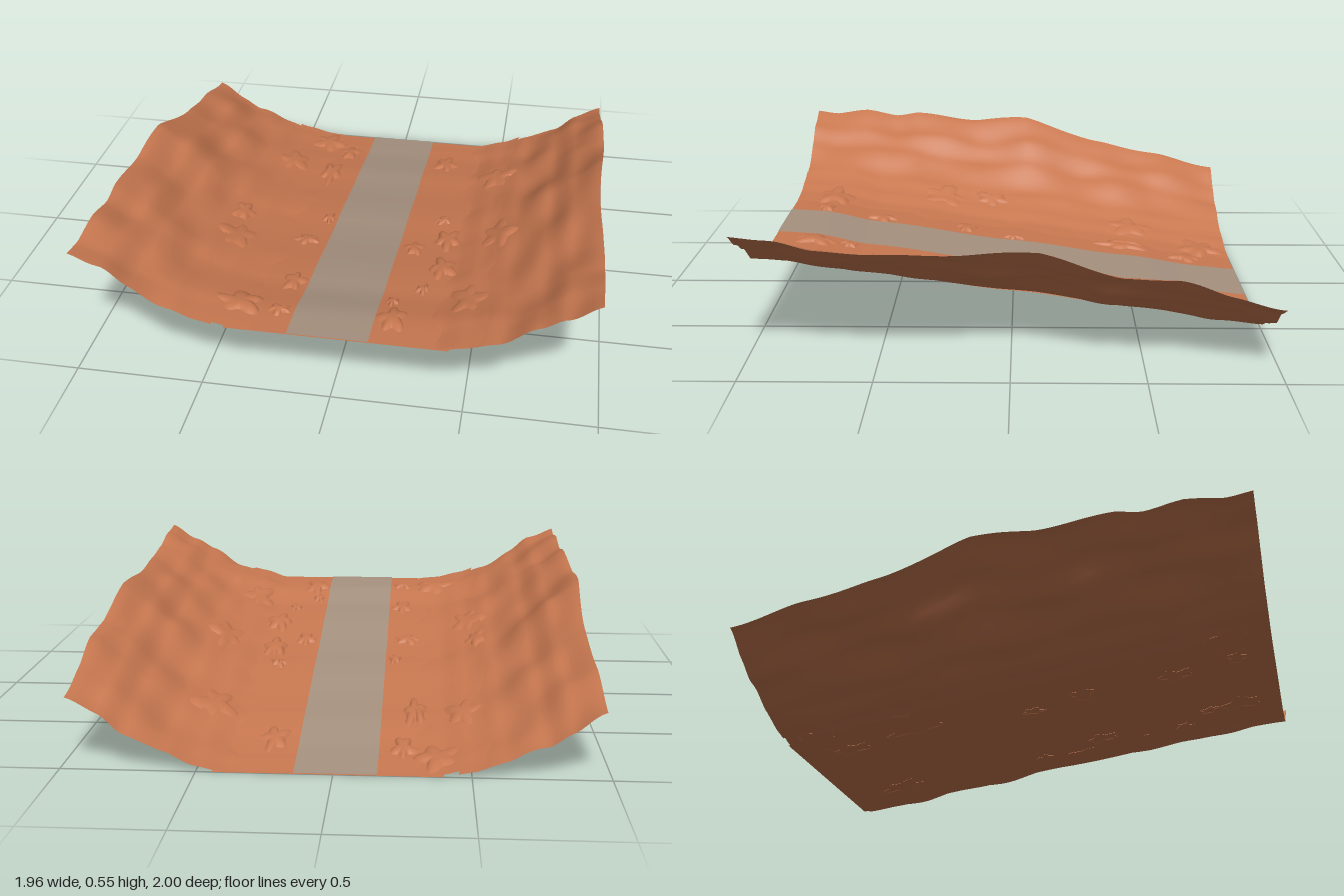
import * as THREE from 'three';

const earth = new THREE.MeshStandardMaterial({ color: 0xc87850, side: THREE.DoubleSide });
earth.name = 'red earth';
const gravel = new THREE.MeshStandardMaterial({ color: 0xa6917f, side: THREE.DoubleSide });
gravel.name = 'grey road';

// Smooth curve through [position, value] pairs in ascending order
function curve(pairs) {
  return (t) => {
    let i = 0;
    while (i < pairs.length - 2 && t > pairs[i + 1][0]) i++;
    const [a, va] = pairs[i], [b, vb] = pairs[i + 1];
    const k = THREE.MathUtils.clamp((t - a) / (b - a), 0, 1);
    return va + (vb - va) * (0.5 * k + 0.5 * k * k * (3 - 2 * k));
  };
}

// Road gradient, bank cross-section, and the crest height of each bank
const roadY = curve([[-1, 0], [-0.85, 0.015], [-0.5, 0.068], [0, 0.137], [0.6, 0.222], [0.85, 0.272], [1, 0.28]]);
const slope = curve([[0.4, 0], [0.5, 0.08], [0.62, 0.24], [0.76, 0.52], [0.85, 0.76], [0.97, 1]]);
const crest = {
  1: curve([[-1, 0.275], [-0.8, 0.325], [-0.6, 0.385], [-0.4, 0.4], [-0.1, 0.495], [0.2, 0.485], [0.5, 0.475], [0.7, 0.495], [0.85, 0.535], [1, 0.55]]),
  [-1]: curve([[-1, 0.255], [-0.7, 0.335], [-0.4, 0.395], [-0.05, 0.515], [0.2, 0.5], [0.5, 0.545], [0.6, 0.53], [0.75, 0.55], [0.9, 0.535], [1, 0.55]]),
};

function bankY(x, z) {
  const side = x < 0 ? -1 : 1, a = Math.abs(x), base = roadY(z);
  const bump = Math.sin(z * 8 + a * 9 + side) * Math.sin(a * 13 + z * 3) * 0.016
    + Math.sin(z * 17 - a * 12) * 0.006;
  const fade = THREE.MathUtils.smoothstep(a, 0.5, 0.72) * (1 - 0.6 * THREE.MathUtils.smoothstep(a, 0.85, 0.97));
  return base + (crest[side](z) - base) * slope(a) + bump * fade;
}

// Grid surface from a rule giving a point for u, v in 0..1
function sheet(name, nu, nv, rule, material = earth) {
  const geo = new THREE.PlaneGeometry(1, 1, nu, nv);
  const pos = geo.attributes.position, uv = geo.attributes.uv;
  for (let i = 0; i < pos.count; i++) pos.setXYZ(i, ...rule(uv.getX(i), 1 - uv.getY(i)));
  geo.computeVertexNormals();
  const mesh = new THREE.Mesh(geo, material);
  mesh.name = name;
  return mesh;
}

// Ragged offset used along sheet borders
const ragged = (z, s) => Math.sin(z * 11 + s) * 0.5 + Math.sin(z * 23 + s * 2) * 0.3 + Math.sin(z * 41 + s) * 0.2;

// Low lobed clod following the ground beneath it
function clod(x, z, rx, rz, seed) {
  const rings = 5, sides = 40;
  return sheet('dirtClod', sides, rings, (u, v) => {
    const t = -u * Math.PI * 2;
    const r = v * (0.86 + 0.2 * Math.cos(5 * t + seed) + 0.1 * Math.sin(3 * t + seed * 2));
    const px = x + Math.cos(t) * rx * r, pz = z + Math.sin(t) * rz * r;
    const dome = 0.016 * (1 - v ** 4) - 0.004;
    return [px, bankY(px, pz) + dome + (Math.abs(px) > 0.3 ? 0.009 : 0.002), pz];
  });
}

export function createModel() {
  const group = new THREE.Group();
  group.name = 'hollowRoad';

  // Flat valley floor and the road laid on it
  group.add(sheet('valleyFloor', 1, 48, (u, v) => {
    const z = v * 2 - 1;
    return [-0.4 + 0.84 * u, roadY(z), z];
  }));
  group.add(sheet('road', 1, 48, (u, v) => {
    const z = v * 2 - 1;
    return [-0.16 + 0.305 * u, roadY(z) + 0.004, z];
  }, gravel));

  for (const side of [-1, 1]) {
    const label = side > 0 ? 'left' : 'right';
    // Rising bank with an uneven outer rim
    group.add(sheet(label + 'Bank', 30, 80, (u, v) => {
      const z = v * 2 - 1;
      const outer = 0.968 + 0.012 * Math.sin(z * 5 + (side > 0 ? 4 : 0.6)) * Math.cos(z * Math.PI / 2);
      const inner = 0.44 + 0.025 * ragged(z, side);
      const t = side > 0 ? u : 1 - u;
      const x = side * (inner + (outer - inner) * t);
      return [x, bankY(x, z), z];
    }));
    // Loose soil washed down at the foot of the bank
    group.add(sheet(label + 'Verge', 14, 90, (u, v) => {
      const z = v * 2 - 1;
      const inner = (side > 0 ? 0.38 : 0.32) + 0.035 * ragged(z, side + 2);
      const outer = 0.56 + 0.03 * ragged(z, side + 5);
      const t = side > 0 ? u : 1 - u;
      const x = side * (inner + (outer - inner) * t);
      const lift = 0.001 + 0.013 * Math.sin(Math.PI * 0.7 * t);
      return [x, bankY(x, z) + lift, z];
    }));
  }

  // Scattered clods: x, z, half width, half depth
  const clods = [
    [-0.38, -0.87, 0.09, 0.11], [-0.25, -0.78, 0.05, 0.09], [-0.48, -0.55, 0.08, 0.13], [-0.29, -0.5, 0.05, 0.13],
    [-0.55, 0.11, 0.05, 0.09], [-0.52, 0.33, 0.08, 0.13], [-0.25, 0.22, 0.06, 0.05], [-0.2, 0, 0.03, 0.05],
    [-0.22, 0.6, 0.05, 0.08], [-0.38, 0.83, 0.1, 0.09], [-0.22, 0.85, 0.05, 0.04],
    [0.24, -0.73, 0.06, 0.1], [0.5, -0.53, 0.09, 0.14], [0.3, -0.07, 0.04, 0.04], [0.34, 0.11, 0.06, 0.1],
    [0.55, 0.11, 0.08, 0.14], [0.21, 0.21, 0.045, 0.07], [0.35, 0.38, 0.06, 0.1], [0.29, 0.57, 0.03, 0.04],
    [0.48, 0.65, 0.08, 0.14], [0.21, 0.83, 0.06, 0.1], [0.19, 0.69, 0.03, 0.04],
  ];
  clods.forEach((c, i) => group.add(clod(...c, i * 1.7)));

  return group;
}
